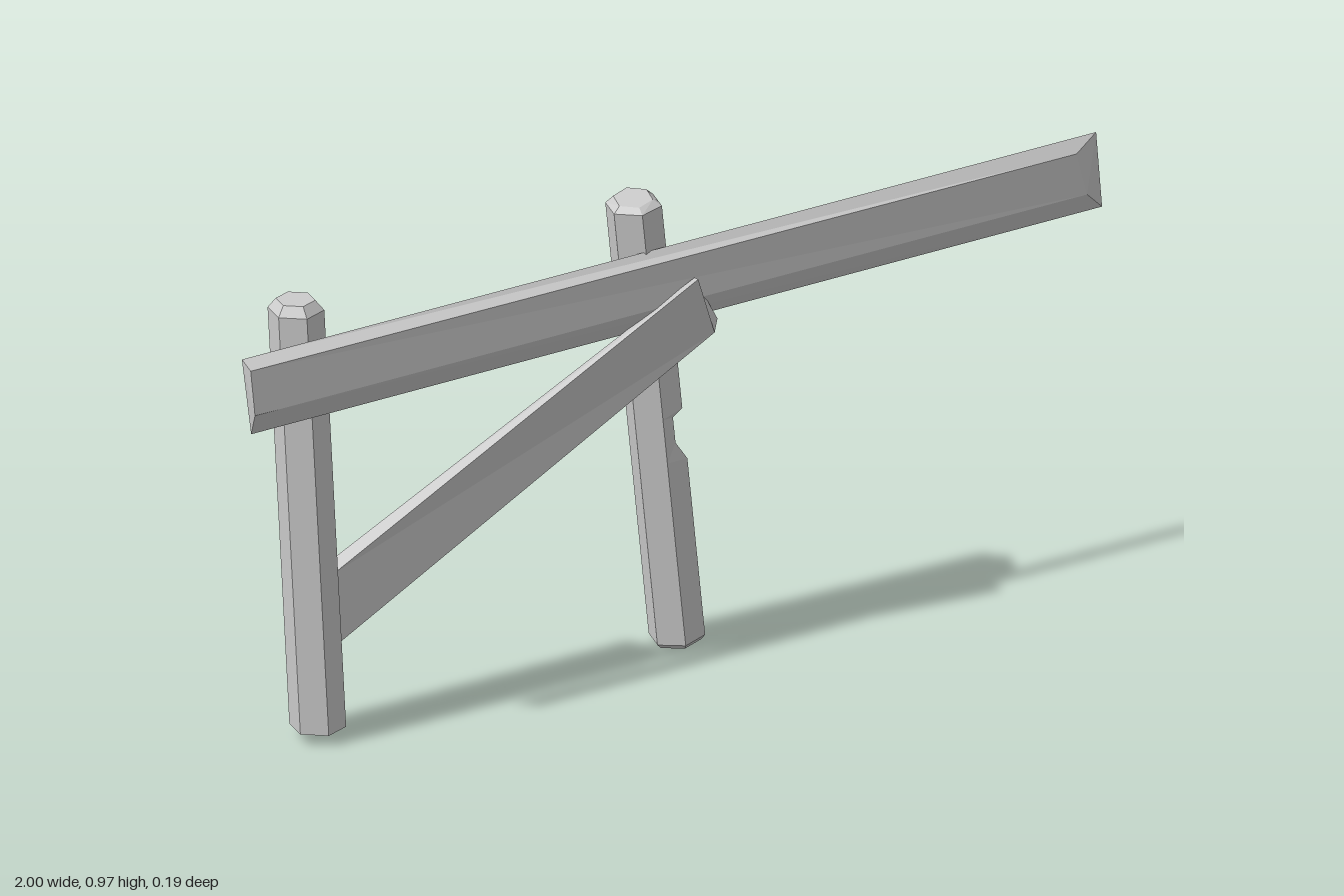
import * as THREE from 'three';

const material = new THREE.MeshStandardMaterial({ color: 0xcccccc, flatShading: true });

// Skin a list of rings (each counter-clockwise seen from the last ring) and cap both ends.
function loft(name, rings) {
  const pos = [];
  const tri = (a, b, c) => pos.push(...a, ...b, ...c);
  const n = rings[0].length;
  for (let i = 0; i < rings.length - 1; i++) {
    for (let j = 0; j < n; j++) {
      const k = (j + 1) % n;
      tri(rings[i][j], rings[i][k], rings[i + 1][k]);
      tri(rings[i][j], rings[i + 1][k], rings[i + 1][j]);
    }
  }
  const first = rings[0], last = rings[rings.length - 1];
  for (let j = 1; j < n - 1; j++) {
    tri(first[0], first[j + 1], first[j]);
    tri(last[0], last[j], last[j + 1]);
  }
  const geometry = new THREE.BufferGeometry();
  geometry.setAttribute('position', new THREE.Float32BufferAttribute(pos, 3));
  geometry.computeVertexNormals();
  const mesh = new THREE.Mesh(geometry, material);
  mesh.name = name;
  return mesh;
}

// Leaning six-sided post. Each level: y, scale, slopes of the ring along x and z, limit on +x.
function post(name, bottom, top, radius, turn, levels) {
  const rings = levels.map(({ y, scale = 1, sx = 0, sz = 0, maxX = 1 }) =>
    Array.from({ length: 6 }, (_, j) => {
      const a = turn + (j * Math.PI) / 3;
      const x = Math.min(Math.sin(a) * scale, maxX) * radius;
      const z = Math.cos(a) * scale * radius;
      const py = y + sx * x + sz * z;
      const t = (py - bottom[1]) / (top[1] - bottom[1]);
      return [
        bottom[0] + (top[0] - bottom[0]) * t + x,
        py,
        bottom[2] + (top[2] - bottom[2]) * t + z,
      ];
    }));
  return loft(name, rings);
}

export function createModel() {
  const group = new THREE.Group();
  group.name = 'brokenFence';

  // Upright post with a chamfered top
  group.add(post('rightPost', [-0.802, 0.02, 0], [-0.828, 0.92, -0.04], 0.056, -0.17, [
    { y: 0.02 },
    { y: 0.905 },
    { y: 0.925, scale: 0.7 },
  ]));

  // Leaning post with a notch cut into its side
  group.add(post('notchedPost', [0.036, 0.01, -0.008], [-0.055, 0.96, -0.025], 0.057, -0.26, [
    { y: 0.002, scale: 0.85, sx: 0.1 },
    { y: 0.012, sx: 0.1 },
    { y: 0.38, sz: 0.5 },
    { y: 0.42, sz: 0.5, maxX: 0.3 },
    { y: 0.475, sz: 0.5, maxX: 0.3 },
    { y: 0.49, sz: 0.5 },
    { y: 0.949, sx: 0.05 },
    { y: 0.963, scale: 0.7, sx: 0.1, sz: -0.1 },
  ]));

  // Long rail with a bevelled front and a slanted end
  group.add(loft('rail', [
    [[-1, 0.865, 0.035], [-1, 0.852, 0.067], [-0.997, 0.76, 0.078], [-0.985, 0.705, 0.045]],
    [[0.99, 0.87, 0.02], [0.93, 0.846, 0.043], [0.95, 0.757, 0.05], [1, 0.71, 0.026]],
  ]));

  // Fallen rail propped diagonally across the posts
  group.add(loft('fallenRail', [
    [[-0.75, 0.335, -0.05], [-0.76, 0.33, -0.01], [-0.76, 0.17, -0.012], [-0.75, 0.175, -0.045]],
    [[0.03, 0.805, 0.065], [0.02, 0.815, 0.095], [0.07, 0.682, 0.076], [0.095, 0.695, 0.047]],
  ]));

  return group;
}
